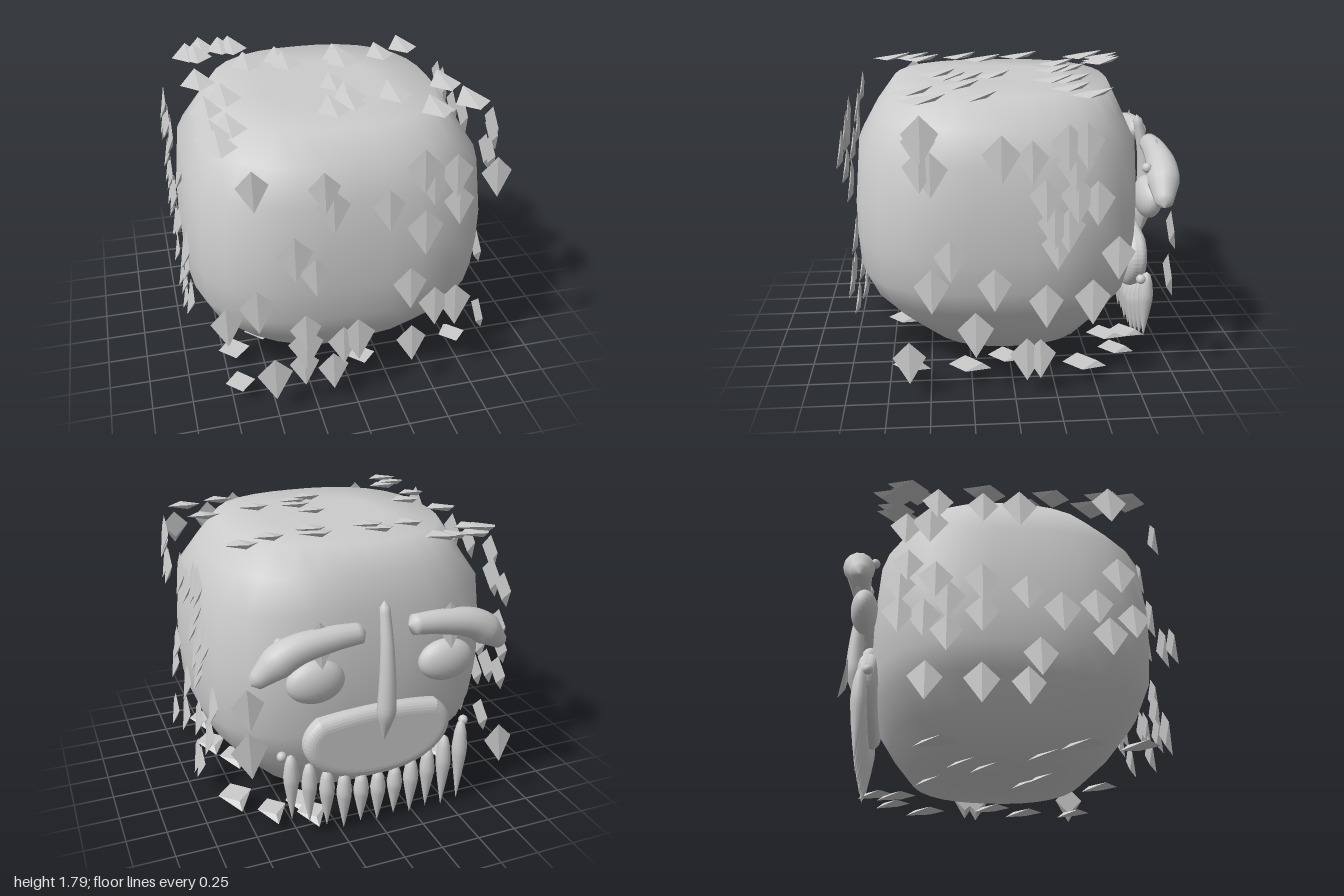
import * as THREE from 'three';

const smooth = new THREE.MeshStandardMaterial({ color: 0xcccccc });
const flat = new THREE.MeshStandardMaterial({ color: 0xcccccc, flatShading: true, side: THREE.DoubleSide });

function add(parent, name, geometry, position = [0, 0, 0], material = smooth) {
  const mesh = new THREE.Mesh(geometry, material);
  mesh.name = name;
  mesh.position.set(...position);
  parent.add(mesh);
  return mesh;
}

// Rounded block lofted from superellipse rings, closed by a centre point at each end
function bodyGeometry() {
  // y, half width, half depth, centre z, exponent
  const rings = [
    [0.12, 0.3, 0.3, 0, 2.3], [0.12, 0.57, 0.55, 0, 2.4], [0.3, 0.73, 0.71, 0.03, 2.6], [0.48, 0.86, 0.83, 0.05, 2.85],
    [0.64, 0.92, 0.87, 0.07, 3.05], [0.85, 0.93, 0.885, 0.065, 3.2], [1.05, 0.93, 0.885, 0.065, 3.2],
    [1.4, 0.9, 0.86, 0.06, 3], [1.58, 0.79, 0.77, 0.05, 2.7], [1.745, 0.675, 0.67, 0.03, 2.5], [1.75, 0.36, 0.36, 0.03, 2.4],
  ];
  const n = 32, positions = [0, 0.12, 0], index = [];
  for (const [y, w, d, cz, e] of rings) {
    for (let j = 0; j < n; j++) {
      const a = (j / n) * Math.PI * 2, c = Math.cos(a), s = Math.sin(a);
      const k = (Math.abs(c) ** e + Math.abs(s) ** e) ** (-1 / e);
      positions.push(c * k * w, y, cz + s * k * d);
    }
  }
  positions.push(0, 1.755, 0.03);
  const at = (i, j) => 1 + i * n + (j % n);
  const last = rings.length - 1, topCentre = 1 + rings.length * n;
  for (let j = 0; j < n; j++) {
    index.push(0, at(0, j), at(0, j + 1), topCentre, at(last, j + 1), at(last, j));
    for (let i = 0; i < last; i++) {
      index.push(at(i, j), at(i + 1, j), at(i + 1, j + 1), at(i, j), at(i + 1, j + 1), at(i, j + 1));
    }
  }
  const g = new THREE.BufferGeometry();
  g.setAttribute('position', new THREE.Float32BufferAttribute(positions, 3));
  g.setIndex(index);
  g.computeVertexNormals();
  return g;
}

// Scale: a pyramid on a diamond base, its apex sheared past the lower corner
function scaleGeometry() {
  const T = [0, 0.1, 0], L = [-0.1, 0, 0], R = [0.1, 0, 0], D = [0, -0.1, 0], apex = [0, -0.155, 0.04];
  const g = new THREE.BufferGeometry();
  const corners = [T, L, apex, T, apex, R, L, D, apex, R, apex, D, T, R, L, L, R, D].flat();
  g.setAttribute('position', new THREE.Float32BufferAttribute(corners, 3));
  g.computeVertexNormals();
  return g;
}

// Spindle pointed at both ends and widest towards +y
function spindle(r, h) {
  const profile = [[0, -0.5], [0.25, -0.36], [0.6, -0.15], [0.95, 0.08], [1, 0.18], [0.8, 0.35], [0.5, 0.46], [0, 0.5]];
  return new THREE.LatheGeometry(profile.map(([x, y]) => new THREE.Vector2(x * r, y * h)), 14);
}

// Tube whose radius follows a rule along its length, closed at both ends
function taperedTube(points, radius) {
  const curve = new THREE.CatmullRomCurve3(points.map(p => new THREE.Vector3(...p)));
  const segs = 24, sides = 14;
  const g = new THREE.TubeGeometry(curve, segs, 1, sides);
  const p = g.attributes.position, v = new THREE.Vector3();
  for (let i = 0; i < p.count; i++) {
    const u = Math.floor(i / (sides + 1)) / segs;
    const c = curve.getPointAt(u);
    v.fromBufferAttribute(p, i).sub(c).multiplyScalar(u === 0 || u === 1 ? 0 : radius(u)).add(c);
    p.setXYZ(i, v.x, v.y, v.z);
  }
  g.computeVertexNormals();
  return g;
}

// Flat-topped mouth plate with a curved lower edge and soft rim
function mouthGeometry() {
  const s = new THREE.Shape();
  s.moveTo(-0.35, 0.71);
  s.quadraticCurveTo(0, 0.77, 0.35, 0.71);
  s.quadraticCurveTo(0.44, 0.64, 0.38, 0.55);
  s.quadraticCurveTo(0.28, 0.41, 0, 0.41);
  s.quadraticCurveTo(-0.28, 0.41, -0.38, 0.55);
  s.quadraticCurveTo(-0.44, 0.64, -0.35, 0.71);
  return new THREE.ExtrudeGeometry(s, { depth: 0.03, bevelThickness: 0.05, bevelSize: 0.07, bevelSegments: 6, curveSegments: 10 });
}

function seeded(seed) {
  return () => (seed = (seed * 16807) % 2147483647) / 2147483647;
}

export function createModel() {
  const model = new THREE.Group();
  add(model, 'body', bodyGeometry());

  // Scale positions on each side
  const front = [[-.6, 1.6], [-.21, 1.54], [-.16, 1.42], [.16, 1.38], [.35, 1.6], [.41, 1.53], [.54, 1.55],
    [.78, 1.51], [.57, 1.36], [.38, 1.21], [-.38, 1.14], [-.26, 1], [-.6, .82], [-.78, .74], [.31, .83],
    [.47, .67], [.6, .66], [-.32, .61], [-.32, .5], [-.33, .35], [-.51, .3], [-.15, .29], [-.09, .48], [0, .51], [.34, .41]];
  const left = [[.53, 1.56], [.52, 1.6], [.53, 1.42], [.47, 1.4], [.08, 1.48], [-.09, 1.46], [-.29, 1.54], [-.39, 1.55],
    [-.33, 1.42], [-.17, 1.24], [-.35, 1.24], [-.46, 1.22], [-.22, 1.08], [-.3, 1.06], [-.24, .95], [.37, .89],
    [.48, .71], [.12, .71], [-.59, .89], [-.18, .6], [-.45, .62], [.23, .43], [.62, .26], [-.07, .26], [-.15, .26]];
  const top = [[-.75, -.6], [-.7, -.57], [-.65, -.7], [-.52, -.68], [-.45, -.67], [-.4, -.35], [-.18, -.39], [-.15, -.3],
    [.21, -.35], [.21, -.26], [.49, -.33], [.68, -.42], [-.74, -.12], [-.62, .15], [.06, .12], [-.74, .3],
    [.11, .3], [.09, .39], [-.03, .46], [.38, .34], [.73, .25], [.55, .6], [.79, .54], [-.65, .57], [-.75, .65], [-.74, .78]];
  const back = [[-.8, .45], [.82, .72], [.82, 1], [-.4, 1.32], [.4, 1.32]];
  const right = [[-.44, 1.54], [-.17, 1.53], [.05, 1.54], [-.62, 1.35], [-.48, 1.39], [-.6, 1.1], [-.44, 1.02], [-.64, .96],
    [-.37, .9], [-.5, .77], [-.64, .78], [-.37, .68], [-.17, 1.02], [-.17, .81], [.09, .96], [.16, .56], [.29, .85],
    [-.17, .39], [.09, .38], [-.48, .39], [.49, .89], [.7, .8], [.63, 1.1], [.56, .7], [.6, 1.6]];
  const bottom = [[.79, -.41], [.62, -.64], [.42, -.61], [.67, .05], [.77, .29], [.4, -.75], [.06, -.37], [-.23, -.03],
    [.07, .25], [-.06, .33], [-.49, .3], [-.69, .45], [-.7, .77], [.75, .64], [-.31, -.17], [-.67, -.38], [.1, .7]];

  // Each side: name, positions, placement, up direction, outward normal
  const sides = [
    ['front', front, (u, v) => [u, v, 0.95], [0, 1, 0], [0, 0, 1]],
    ['back', back, (u, v) => [u, v, -0.91], [0, 1, 0], [0, 0, -1]],
    ['left', left, (u, v) => [0.93, v, u], [0, 1, 0], [1, 0, 0]],
    ['right', right, (u, v) => [-0.935, v, u], [0, 1, 0], [-1, 0, 0]],
    ['top', top, (u, v) => [u, 1.75, v], [0, 0, 1], [0, 1, 0]],
    ['bottom', bottom, (u, v) => [u, 0.12, v], [0, 0, 1], [0, -1, 0]],
  ];
  const kite = scaleGeometry();
  const rnd = seeded(31);
  for (const [name, spots, place, upDir, out] of sides) {
    const group = new THREE.Group();
    group.name = name + 'Scales';
    const up = new THREE.Vector3(...upDir), normal = new THREE.Vector3(...out);
    const basis = new THREE.Matrix4().makeBasis(up.clone().cross(normal), up, normal);
    for (const [u, v] of spots) {
      const scale = add(group, 'scale', kite, place(u, v), flat);
      scale.quaternion.setFromRotationMatrix(basis);
      const s = 0.9 + 0.2 * rnd();
      scale.scale.set(s, s, 1);
    }
    model.add(group);
  }

  // Face on the -z side
  const face = new THREE.Group();
  face.name = 'face';
  model.add(face);
  const ball = new THREE.SphereGeometry(1, 24, 16);

  // Brow radius: blunt inner end, thickest past the middle, tapering outwards
  const browRadius = u => Math.min(0.058 + 0.055 * u, 0.04 + 0.22 * (1 - u));
  for (const s of [-1, 1]) {
    add(face, 'brow', taperedTube([[s * 0.13, 1.33, -0.92], [s * 0.34, 1.32, -0.92], [s * 0.57, 1.27, -0.91], [s * 0.79, 1.1, -0.88]], browRadius));
    add(face, 'eye', ball, [s * 0.41, 1.05, -0.87]).scale.set(0.175, 0.13, 0.085);
    add(face, 'browStud', ball, [s * 0.6, 1.29, -0.81]).scale.setScalar(0.03);
    add(face, 'mouthStud', ball, [s * 0.6, 0.57, -0.81]).scale.setScalar(0.03);
  }

  // Long nose: thin at the top, swelling low down, then pointed
  const noseRadius = u => Math.min(0.028 + 0.04 * u, 0.26 * (1 - u));
  add(face, 'nose', taperedTube([[0, 1.48, -0.87], [0, 1.2, -0.93], [0, 0.85, -0.945], [0, 0.61, -0.92]], noseRadius));
  add(face, 'mouth', mouthGeometry(), [0, 0, -0.84]);

  // Row of pointed teeth hanging from the curved lower lip
  for (let i = -5; i <= 5; i++) {
    const x = i * 0.112;
    const topY = 0.37 + 0.23 * (i / 5) ** 2;
    const tipY = i > 2 ? 0.05 * (i - 2) : 0.02 * (Math.abs(i) % 2);
    const h = topY - tipY;
    add(face, 'tooth', spindle(0.048, h), [x, tipY + h / 2, -0.855]);
  }
  return model;
}
